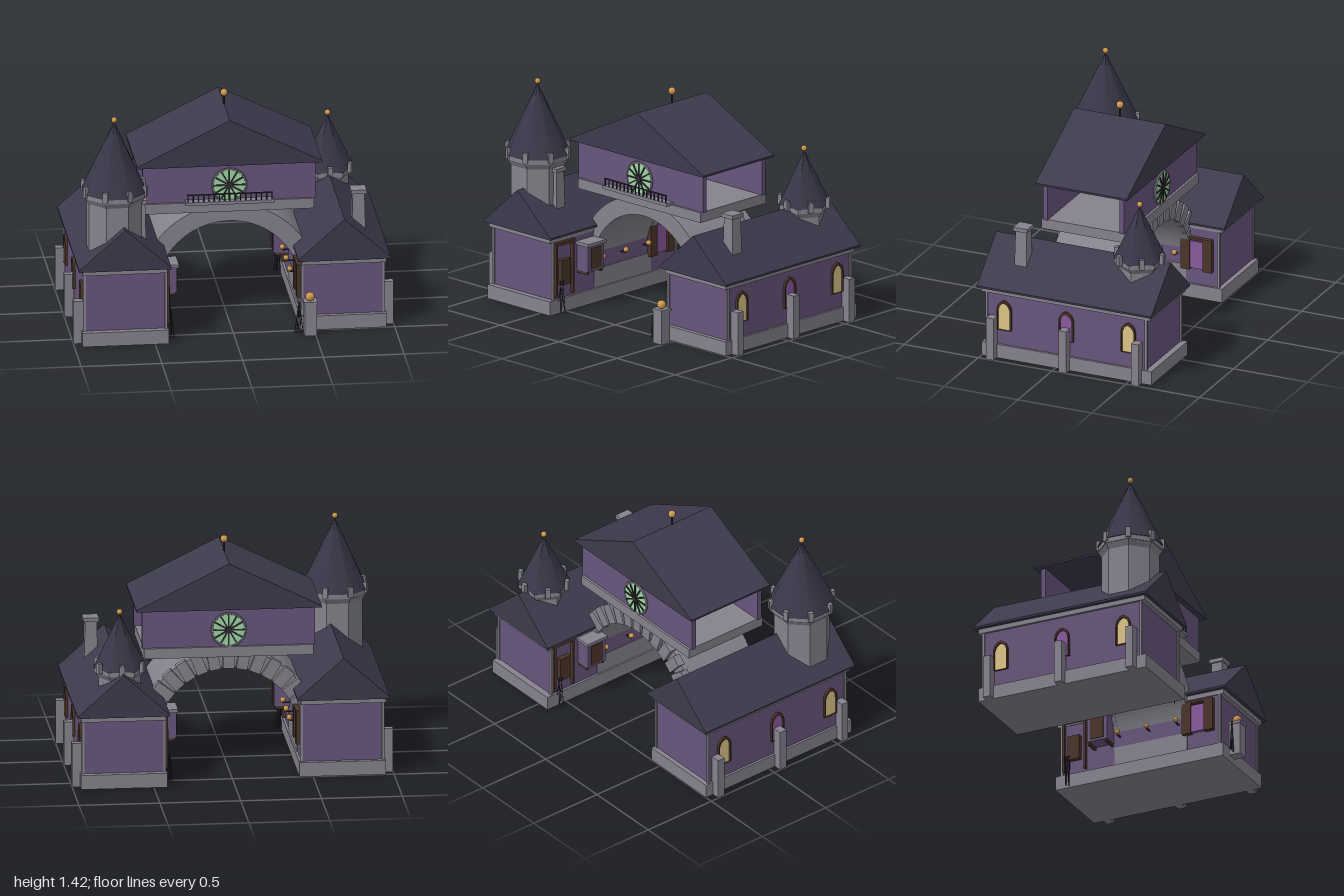
import * as THREE from 'three';

const mat = (color, flat = true) =>
  new THREE.MeshStandardMaterial({ color, flatShading: flat, side: THREE.DoubleSide });
const M = {
  roof: mat(0x3d3a4d), cone: mat(0x3a3749, false), wall: mat(0x67557c), stone: mat(0x85828c),
  wood: mat(0x4b3529), dark: mat(0x2e2b33), gold: mat(0xcf9a4e, false), green: mat(0x9fd8a4),
  amber: mat(0xdcc587), violet: mat(0x8a5a9e),
};

function add(parent, name, geometry, material, x = 0, y = 0, z = 0) {
  const mesh = new THREE.Mesh(geometry, material);
  mesh.name = name;
  mesh.position.set(x, y, z);
  parent.add(mesh);
  return mesh;
}

// Box given by its minimum and maximum along each axis
const box = (parent, name, material, x0, x1, y0, y1, z0, z1) =>
  add(parent, name, new THREE.BoxGeometry(x1 - x0, y1 - y0, z1 - z0), material,
    (x0 + x1) / 2, (y0 + y1) / 2, (z0 + z1) / 2);

const ball = (parent, name, r, x, y, z) =>
  add(parent, name, new THREE.SphereGeometry(r, 16, 12), M.gold, x, y, z);

const extrude = (shape, depth, curveSegments = 12) =>
  new THREE.ExtrudeGeometry(shape, { depth, bevelEnabled: false, curveSegments });

// Solid gable roof with its ridge along z
function gable(parent, name, cx, half, y0, y1, z0, z1) {
  const s = new THREE.Shape([[-half, y0], [half, y0], [half, y0 + 0.012], [0, y1], [-half, y0 + 0.012]]
    .map(([x, y]) => new THREE.Vector2(x, y)));
  add(parent, name, extrude(s, z1 - z0), M.roof, cx, 0, z0);
}

function archShape(w, h) {
  const s = new THREE.Shape();
  s.moveTo(-w / 2, 0);
  s.lineTo(w / 2, 0);
  s.lineTo(w / 2, h * 0.62);
  s.quadraticCurveTo(w / 2, h * 0.92, 0, h);
  s.quadraticCurveTo(-w / 2, h * 0.92, -w / 2, h * 0.62);
  return s;
}

// Arched window facing +x
function archedWindow(parent, pane, x, y, z) {
  const g = new THREE.Group();
  g.name = 'archedWindow';
  g.position.set(x, y, z);
  g.rotation.y = Math.PI / 2;
  const frame = archShape(0.1, 0.195);
  frame.holes.push(new THREE.Path(archShape(0.082, 0.178).getPoints(8)));
  add(g, 'windowFrame', extrude(frame, 0.02), M.wood);
  add(g, 'windowPane', extrude(archShape(0.086, 0.18), 0.01), pane);
  parent.add(g);
}

// Side building with its outer side facing +x
function wing(name, lift, roofPeak) {
  const g = new THREE.Group();
  g.name = name;
  const top = 0.425 + lift;
  box(g, 'plinth', M.stone, 0.415, 0.95, 0, 0.09, -0.65, 0.5);
  box(g, 'walls', M.wall, 0.43, 0.935, 0.09, top, -0.61, 0.47);
  box(g, 'eaveTrim', M.stone, 0.425, 0.95, top, 0.455 + lift, -0.64, 0.5);
  gable(g, 'wingRoof', 0.687, 0.286, 0.455 + lift, roofPeak, -0.66, 0.522);
  for (const x of [0.43, 0.935]) for (const z of [-0.61, 0.47])
    box(g, 'cornerPost', M.stone, x - 0.008, x + 0.008, 0.09, top, z - 0.008, z + 0.008);
  for (const z of [0.42, -0.07, -0.56])
    box(g, 'buttress', M.stone, 0.94, 1, 0, 0.277, z - 0.025, z + 0.025);
  [[0.35, M.amber], [-0.07, M.violet], [-0.49, M.amber]]
    .forEach(([z, pane]) => archedWindow(g, pane, 0.93, 0.19, z));

  // Courtyard side: oriel with cap and shutter
  box(g, 'oriel', M.wall, 0.335, 0.44, 0.24, 0.405, -0.395, -0.255);
  box(g, 'orielCap', M.stone, 0.325, 0.44, 0.405, 0.425, -0.405, -0.245);
  box(g, 'orielWindow', M.wood, 0.33, 0.336, 0.255, 0.39, -0.37, -0.28);
  for (const z of [-0.385, -0.265])
    box(g, 'orielBracket', M.wood, 0.345, 0.43, 0.222, 0.24, z - 0.008, z + 0.008);
  // Door with frame, and a window with shutters
  box(g, 'doorFrame', M.wood, 0.408, 0.44, 0.11, 0.45, -0.6, -0.585);
  box(g, 'doorFrame', M.wood, 0.408, 0.44, 0.11, 0.45, -0.455, -0.44);
  box(g, 'doorLintel', M.wood, 0.406, 0.44, 0.435, 0.455, -0.605, -0.435);
  box(g, 'door', M.wood, 0.4, 0.44, 0.18, 0.34, -0.56, -0.48);
  box(g, 'courtWindow', M.violet, 0.41, 0.44, 0.2, 0.38, 0.28, 0.38);
  for (const z of [0.255, 0.405])
    box(g, 'shutter', M.wood, 0.4, 0.44, 0.19, 0.39, z - 0.03, z + 0.03);
  box(g, 'windowLintel', M.wood, 0.4, 0.44, 0.39, 0.405, 0.225, 0.435);
  for (const z of [-0.21, -0.01, 0.19]) {
    ball(g, 'wallLamp', 0.017, 0.385, 0.295, z);
    box(g, 'lampArm', M.dark, 0.385, 0.44, 0.272, 0.28, z - 0.004, z + 0.004);
  }
  // Thin reeds by the wall
  for (let i = 0; i < 5; i++) {
    const reed = add(g, 'reed', new THREE.CylinderGeometry(0.0025, 0.0025, 0.2, 4), M.dark,
      0.385 + i * 0.007, 0.11, -0.57 + (i % 2) * 0.02);
    reed.rotation.set((i - 2) * 0.05, 0, (i - 2) * 0.06);
  }
  return g;
}

// Polygonal tower with crown, merlons and pointed roof
function tower(name, sides, x, z, r, yBase, yEave, yTip, shaftR) {
  const g = new THREE.Group();
  g.name = name;
  g.position.set(x, 0, z);
  const turn = Math.PI / sides;
  const drum = (part, rt, rb, y0, y1, m) => {
    add(g, part, new THREE.CylinderGeometry(rt, rb, y1 - y0, sides), m, 0, (y0 + y1) / 2, 0)
      .rotation.y = turn;
  };
  drum('towerShaft', shaftR, shaftR, yBase, yEave - 0.03, M.stone);
  drum('towerCorbel', r * 0.95, shaftR, yEave - 0.065, yEave - 0.03, M.stone);
  drum('towerCrown', r * 0.97, r * 0.97, yEave - 0.03, yEave, M.stone);
  drum('towerRoof', 0.001, r, yEave, yTip, M.cone);
  for (let i = 0; i < sides; i++) {
    const a = (i + 0.5) * 2 * turn;
    const m = add(g, 'merlon', new THREE.BoxGeometry(0.025, 0.065, 0.032), M.stone,
      Math.cos(a) * r * 0.94, yEave + 0.012, Math.sin(a) * r * 0.94);
    m.rotation.y = -a;
  }
  ball(g, 'towerFinial', 0.018, 0, yTip + 0.015, 0);
  return g;
}

function chimney(x, z, y0, y1, w) {
  const g = new THREE.Group();
  g.name = 'chimney';
  const flue = add(g, 'flue', new THREE.CylinderGeometry(w * 0.52, w * 0.62, y1 - y0, 4, 1), M.stone, x, (y0 + y1) / 2, z);
  flue.rotation.y = Math.PI / 4;
  box(g, 'chimneyCap', M.stone, x - w / 2, x + w / 2, y1 - 0.025, y1, z - w / 2, z + w / 2);
  return g;
}

// Round window with spokes, facing +z
function roseWindow() {
  const g = new THREE.Group();
  g.name = 'roseWindow';
  add(g, 'rosePane', new THREE.CylinderGeometry(0.1, 0.1, 0.02, 24), M.green).rotation.x = Math.PI / 2;
  add(g, 'roseFrame', new THREE.TorusGeometry(0.103, 0.008, 6, 24), M.stone, 0, 0, 0.005);
  for (let i = 0; i < 12; i++) {
    const a = i * Math.PI / 6;
    add(g, 'spoke', new THREE.BoxGeometry(0.095, 0.009, 0.012), M.dark,
      Math.cos(a) * 0.05, Math.sin(a) * 0.05, 0.01).rotation.z = a;
  }
  add(g, 'roseHub', new THREE.CylinderGeometry(0.02, 0.02, 0.02, 12), M.dark, 0, 0, 0.01).rotation.x = Math.PI / 2;
  return g;
}

function bridgeHall() {
  const g = new THREE.Group();
  g.name = 'bridgeHall';
  // Arch carrying the hall
  const ring = new THREE.Shape();
  ring.absarc(0, 0.2, 0.555, 0, Math.PI, false);
  ring.absarc(0, 0.2, 0.445, Math.PI, 0, true);
  add(g, 'arch', extrude(ring, 0.5, 24), M.stone, 0, 0, -0.25);
  for (const s of [-1, 1])
    add(g, 'archPier', new THREE.BoxGeometry(0.08, 0.13, 0.5), M.stone, s * 0.465, 0.145, 0);
  // Arch stones on the rear face
  for (let i = 0; i < 17; i++) {
    const a = (i + 0.5) * Math.PI / 17;
    add(g, 'archStone', new THREE.BoxGeometry(0.125, 0.07, 0.05), M.stone,
      Math.cos(a) * 0.505, 0.2 + Math.sin(a) * 0.505, -0.255).rotation.z = a;
  }
  // Open-ended hall
  box(g, 'hallFloor', M.stone, -0.525, 0.525, 0.72, 0.785, -0.29, 0.29);
  for (const s of [-1, 1]) {
    add(g, 'hallWall', new THREE.BoxGeometry(1.07, 0.245, 0.03), M.wall, 0, 0.905, s * 0.26);
    const rose = roseWindow();
    rose.position.set(0, 0.893, s * 0.28);
    if (s < 0) rose.rotation.y = Math.PI;
    g.add(rose);
  }
  gable(g, 'hallRoof', 0, 0.573, 1.025, 1.32, -0.31, 0.31);
  add(g, 'finialPole', new THREE.CylinderGeometry(0.005, 0.005, 0.08, 8), M.dark, 0, 1.345, 0);
  ball(g, 'hallFinial', 0.023, 0, 1.395, 0);
  // Balcony
  box(g, 'balconyFloor', M.stone, -0.275, 0.275, 0.78, 0.8, 0.27, 0.33);
  box(g, 'balconyRail', M.dark, -0.265, 0.265, 0.843, 0.85, 0.318, 0.326);
  for (let i = 0; i <= 16; i++)
    add(g, 'baluster', new THREE.BoxGeometry(0.006, 0.05, 0.006), M.dark, -0.26 + i * 0.0325, 0.822, 0.322);
  return g;
}

export function createModel() {
  const model = new THREE.Group();
  model.name = 'gatehouse';
  model.add(wing('leftWing', 0, 0.722));
  const other = wing('rightWing', 0.035, 0.755);
  other.rotation.y = Math.PI;
  model.add(other);
  model.add(bridgeHall());
  model.add(tower('tallTower', 8, -0.73, 0.435, 0.21, 0.45, 0.945, 1.385, 0.178));
  model.add(tower('smallTower', 6, 0.693, -0.453, 0.163, 0.5, 0.725, 1.06, 0.13));
  model.add(chimney(0.797, 0.287, 0.55, 0.842, 0.097));
  model.add(chimney(-0.575, 0.43, 0.55, 0.88, 0.09));
  // Gate post
  box(model, 'gatePost', M.stone, 0.43, 0.505, 0, 0.205, 0.535, 0.61);
  box(model, 'gatePostCap', M.stone, 0.425, 0.51, 0.205, 0.222, 0.53, 0.615);
  ball(model, 'gatePostBall', 0.028, 0.467, 0.245, 0.573);
  // Reeds beside the post
  for (let i = 0; i < 5; i++)
    add(model, 'reed', new THREE.CylinderGeometry(0.0025, 0.0025, 0.2, 4), M.dark,
      0.385 + i * 0.007, 0.11, 0.57).rotation.z = (i - 2) * 0.06;
  return model;
}
